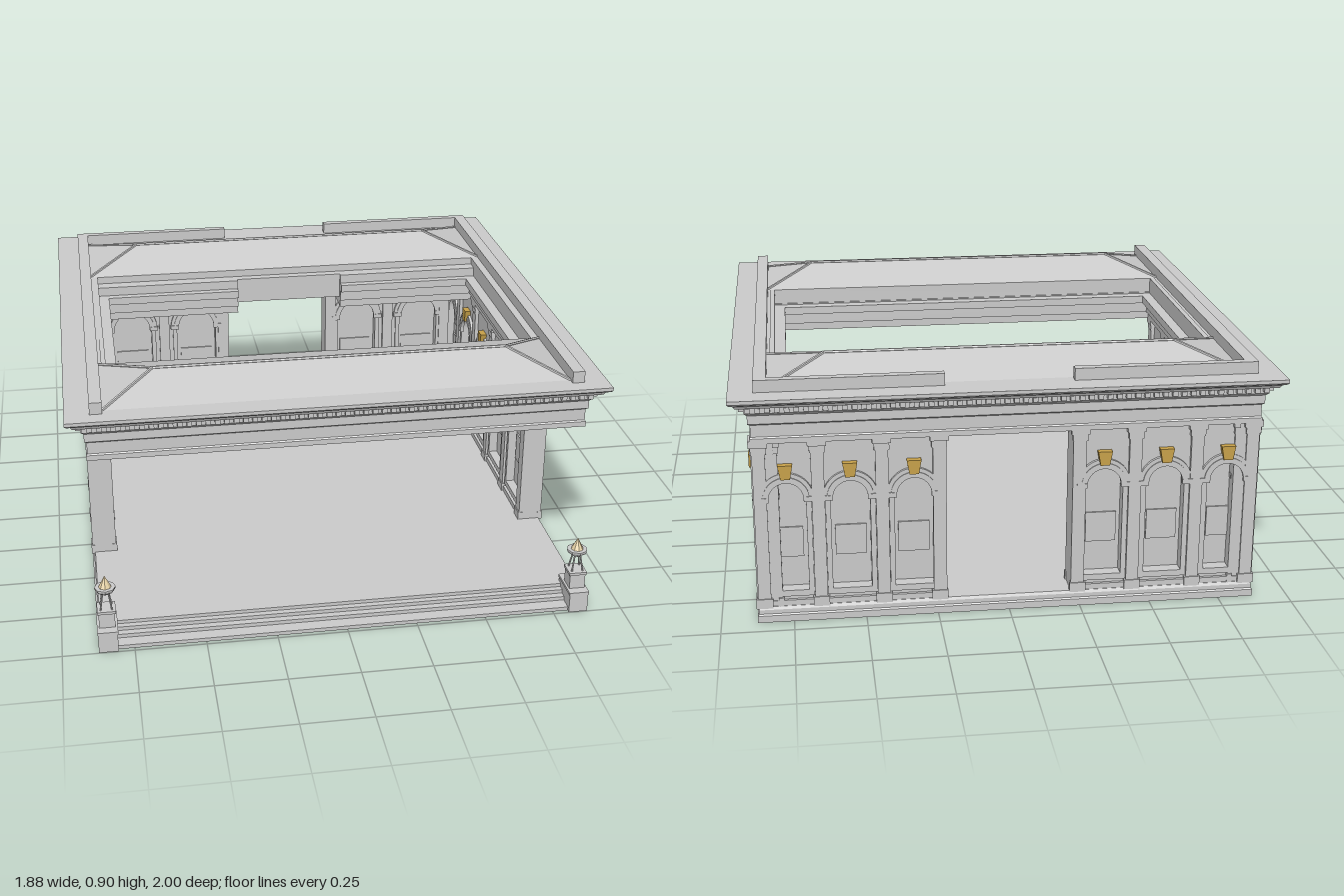
import * as THREE from 'three';
import { ConvexGeometry } from 'three/addons/geometries/ConvexGeometry.js';

const grey = new THREE.MeshStandardMaterial({ color: 0xcccccc, flatShading: true });
const thin = new THREE.MeshStandardMaterial({ color: 0xcccccc, side: THREE.DoubleSide });
const gold = new THREE.MeshStandardMaterial({ color: 0xc8a24a, flatShading: true });
const flameMat = new THREE.MeshStandardMaterial({ color: 0xe8d4a8, flatShading: true });

function add(parent, name, geo, mat = grey) {
  const m = new THREE.Mesh(geo, mat);
  m.name = name;
  parent.add(m);
  return m;
}

// Box given by its minimum and maximum along each axis
function box(parent, name, x0, x1, y0, y1, z0, z1, mat) {
  const m = add(parent, name, new THREE.BoxGeometry(x1 - x0, y1 - y0, z1 - z0), mat);
  m.position.set((x0 + x1) / 2, (y0 + y1) / 2, (z0 + z1) / 2);
  return m;
}

// Same box on both sides of the model
function pair(parent, name, x0, x1, ...rest) {
  box(parent, name, x0, x1, ...rest);
  box(parent, name, -x1, -x0, ...rest);
}

// Mitred moulding around a rectangle; profile points are [offset outwards, height]
function moulding(parent, name, profile, hx, z0, z1) {
  const pos = [];
  const corner = ([o, y], i) => [[hx + o, y, z1 + o], [hx + o, y, z0 - o], [-hx - o, y, z0 - o], [-hx - o, y, z1 + o]][i % 4];
  for (let k = 0; k < profile.length - 1; k++) {
    for (let i = 0; i < 4; i++) {
      const a = corner(profile[k], i), b = corner(profile[k], i + 1);
      const c = corner(profile[k + 1], i + 1), d = corner(profile[k + 1], i);
      pos.push(...a, ...b, ...c, ...a, ...c, ...d);
    }
  }
  const g = new THREE.BufferGeometry();
  g.setAttribute('position', new THREE.Float32BufferAttribute(pos, 3));
  g.computeVertexNormals();
  return add(parent, name, g, thin);
}

// Arched outline: straight sides, half-round head
function arch(Type, hw, bottom, spring) {
  const s = new Type();
  s.moveTo(-hw, bottom);
  s.lineTo(hw, bottom);
  s.lineTo(hw, spring);
  s.absarc(0, spring, hw, 0, Math.PI, false);
  s.lineTo(-hw, bottom);
  return s;
}

function archBand(inner, outer, bottom, innerBottom, depth) {
  const s = arch(THREE.Shape, outer, bottom, 0.45);
  s.holes.push(arch(THREE.Path, inner, innerBottom, 0.45));
  return new THREE.ExtrudeGeometry(s, { depth, bevelEnabled: false, curveSegments: 16 });
}

// One window bay facing +z, wall plane at z = 0
function windowBay(w, depth) {
  const g = new THREE.Group();
  g.name = 'windowBay';
  const hw = Math.min(0.085, w * 0.31);
  const wall = new THREE.Shape([[-w / 2, 0.05], [w / 2, 0.05], [w / 2, 0.67], [-w / 2, 0.67]].map(p => new THREE.Vector2(...p)));
  wall.holes.push(arch(THREE.Path, hw, 0.11, 0.45));
  add(g, 'wallPanel', new THREE.ExtrudeGeometry(wall, { depth, bevelEnabled: false, curveSegments: 16 })).position.z = -depth;
  add(g, 'windowPane', new THREE.ShapeGeometry(arch(THREE.Shape, hw, 0.11, 0.45), 16), thin).position.z = -depth + 0.004;
  box(g, 'windowPlaque', -hw * 0.8, hw * 0.8, 0.22, 0.33, -depth + 0.004, -depth + 0.01);
  add(g, 'windowFrame', archBand(hw, hw + 0.018, 0.088, 0.11, 0.008));
  // Projecting arch with its imposts and keystone
  [[hw - 0.008, hw + 0.012, 0.015], [hw + 0.01, hw + 0.026, 0.011]].forEach(([r0, r1, d]) => {
    const s = new THREE.Shape();
    s.absarc(0, 0.45, r1, 0, Math.PI, false);
    s.absarc(0, 0.45, r0, Math.PI, 0, true);
    add(g, 'archMoulding', new THREE.ExtrudeGeometry(s, { depth: d, bevelEnabled: false, curveSegments: 16 }));
  });
  pair(g, 'impost', hw - 0.008, hw + 0.028, 0.44, 0.458, 0, 0.016);
  const k = new THREE.Shape([[-0.016, 0.525], [0.016, 0.525], [0.025, 0.575], [-0.025, 0.575]].map(p => new THREE.Vector2(...p)));
  add(g, 'keystone', new THREE.ExtrudeGeometry(k, { depth: 0.024, bevelEnabled: false }), gold);
  return g;
}

// Row of bays divided by pilasters
function wallFace(parent, name, n, length, depth, x, z, turn) {
  const g = new THREE.Group(), w = length / n;
  g.name = name;
  for (let i = 0; i < n; i++) {
    const b = windowBay(w, depth);
    b.position.x = (i - (n - 1) / 2) * w;
    g.add(b);
  }
  for (let i = 0; i <= n; i++) {
    const c = Math.max(-length / 2 + 0.022, Math.min(length / 2 - 0.022, (i - n / 2) * w));
    box(g, 'pilaster', c - 0.022, c + 0.022, 0.05, 0.64, 0, 0.014);
    box(g, 'pilasterBase', c - 0.028, c + 0.028, 0.05, 0.085, 0, 0.018);
    box(g, 'pilasterNeck', c - 0.026, c + 0.026, 0.615, 0.64, 0, 0.017);
    box(g, 'pilasterCap', c - 0.032, c + 0.032, 0.64, 0.665, 0, 0.021);
  }
  box(g, 'skirting', -length / 2, length / 2, 0.05, 0.075, 0, 0.011);
  g.position.set(x, 0, z);
  g.rotation.y = turn;
  parent.add(g);
}

function rod(parent, name, a, b, r, sides = 6) {
  const p = new THREE.Vector3(...a), q = new THREE.Vector3(...b);
  const m = add(parent, name, new THREE.CylinderGeometry(r, r, p.distanceTo(q), sides));
  m.position.copy(p).add(q).multiplyScalar(0.5);
  m.quaternion.setFromUnitVectors(new THREE.Vector3(0, 1, 0), q.sub(p).normalize());
}

// Hipped roof strip with ridge and hip battens
function hipRoof(parent, z0, z1, ridgeZ, ridgeX) {
  const base = [[0.82, 0.828, z0], [0.82, 0.828, z1], [-0.82, 0.828, z0], [-0.82, 0.828, z1]];
  const ridge = [[ridgeX, 0.89, ridgeZ], [-ridgeX, 0.89, ridgeZ]];
  add(parent, 'hipRoof', new ConvexGeometry([...base, ...ridge].map(p => new THREE.Vector3(...p))));
  rod(parent, 'ridgeBatten', ridge[0], ridge[1], 0.006);
  base.forEach((b, i) => rod(parent, 'hipBatten', b, ridge[i < 2 ? 0 : 1], 0.006));
}

// Pedestal with a fire bowl on slender legs
function brazier(parent, x) {
  const g = new THREE.Group();
  g.name = 'brazier';
  box(g, 'pedestalBase', -0.034, 0.034, 0, 0.07, -0.067, 0.065);
  box(g, 'pedestalLedge', -0.036, 0.036, 0.07, 0.08, -0.069, 0.067);
  box(g, 'pedestal', -0.028, 0.028, 0.08, 0.135, -0.026, 0.034);
  box(g, 'pedestalCap', -0.032, 0.032, 0.135, 0.145, -0.03, 0.038);
  for (let i = 0; i < 4; i++) {
    const a = Math.PI / 4 + i * Math.PI / 2, c = Math.cos(a), s = Math.sin(a);
    rod(g, 'bowlLeg', [c * 0.028, 0.145, 0.004 + s * 0.028], [c * 0.014, 0.205, 0.004 + s * 0.014], 0.003);
  }
  const bowl = [[0, 0.198], [0.014, 0.2], [0.033, 0.214], [0.037, 0.222], [0.037, 0.227], [0, 0.227]];
  add(g, 'fireBowl', new THREE.LatheGeometry(bowl.map(p => new THREE.Vector2(...p)), 8)).position.z = 0.004;
  add(g, 'flame', new THREE.ConeGeometry(0.023, 0.045, 8), flameMat).position.set(0, 0.248, 0.004);
  g.position.set(x, 0, 0.933);
  parent.add(g);
}

export function createModel() {
  const g = new THREE.Group();
  g.name = 'pavilion';

  // Floor, plinth and front steps
  box(g, 'floor', -0.865, 0.865, 0, 0.055, -0.925, 0.89);
  moulding(g, 'plinth', [[0.01, 0], [0.01, 0.025], [0.005, 0.03], [0.005, 0.045], [0, 0.055]], 0.865, -0.925, 0.87);
  [[0.042, 0.912], [0.028, 0.937], [0.014, 0.985]].forEach(([h, z]) => box(g, 'step', -0.81, 0.81, 0, h, 0.87, z));
  brazier(g, 0.84);
  brazier(g, -0.84);

  // Side walls, outside and inside
  for (const s of [1, -1]) {
    wallFace(g, 'sideWallOutside', 5, 1.32, 0.03, s * 0.86, -0.26, s * Math.PI / 2);
    wallFace(g, 'sideWallInside', 5, 1.32, 0.03, s * 0.80, -0.26, -s * Math.PI / 2);
    // Back wall, left and right of the doorway
    wallFace(g, 'backWallOutside', 3, 0.65, 0.04, s * 0.545, -0.912, Math.PI);
    wallFace(g, 'backWallInside', 2, 0.565, 0.04, s * 0.5025, -0.832, 0);
  }
  pair(g, 'wallEnd', 0.786, 0.874, 0.05, 0.66, 0.385, 0.405);
  pair(g, 'doorJamb', 0.218, 0.235, 0.05, 0.66, -0.926, -0.818);

  // Roof slab with the open court cut out
  const slab = new THREE.Shape([[-0.87, -0.82], [0.87, -0.82], [0.87, 0.93], [-0.87, 0.93]].map(p => new THREE.Vector2(...p)));
  slab.holes.push(new THREE.Path([[-0.785, -0.41], [-0.785, 0.48], [0.785, 0.48], [0.785, -0.41]].map(p => new THREE.Vector2(...p))));
  const slabMesh = add(g, 'roofSlab', new THREE.ExtrudeGeometry(slab, { depth: 0.068, bevelEnabled: false }));
  slabMesh.rotation.x = -Math.PI / 2;
  slabMesh.position.y = 0.76;

  // Outer beams, inner beams around the court, and ceiling ribs
  box(g, 'frontBeam', -0.868, 0.868, 0.66, 0.77, 0.735, 0.818);
  box(g, 'backBeam', -0.868, 0.868, 0.66, 0.77, -0.928, -0.82);
  pair(g, 'sideBeam', 0.785, 0.868, 0.66, 0.77, -0.928, 0.818);
  box(g, 'courtFrontBeam', -0.79, 0.79, 0.66, 0.77, 0.405, 0.47);
  box(g, 'courtBackBeam', -0.79, 0.79, 0.70, 0.8, -0.5, -0.445);
  pair(g, 'courtBackBeamSide', 0.215, 0.79, 0.66, 0.8, -0.5, -0.43);
  pair(g, 'passageBeam', 0.215, 0.26, 0.66, 0.77, -0.85, -0.45);
  for (const x of [-0.52, 0.52]) box(g, 'ceilingRib', x - 0.02, x + 0.02, 0.7, 0.77, -0.85, -0.45);
  for (const x of [-0.52, -0.17, 0.17, 0.52]) box(g, 'ceilingRib', x - 0.02, x + 0.02, 0.7, 0.77, 0.45, 0.76);

  // Stepped cornice facing the court, broken over the doorway
  [[0.66, 0.69, 0.012], [0.69, 0.735, 0.022], [0.735, 0.765, 0.045]].forEach(([y0, y1, d]) => {
    box(g, 'courtCornice', -0.79, 0.79, y0, y1, 0.405 - d, 0.41);
    pair(g, 'courtCornice', 0.79 - d, 0.8, y0, y1, -0.45, 0.41);
    pair(g, 'courtCornice', 0.215, 0.79, y0, y1, -0.45, -0.445 + d);
  });

  // Outer entablature and projecting cornice
  moulding(g, 'entablature', [[-0.03, 0.656], [0.004, 0.656], [0.004, 0.675], [0, 0.68], [0, 0.722], [0.008, 0.728],
    [0.008, 0.758], [0.018, 0.768], [0.018, 0.792], [0.045, 0.795], [0.05, 0.805], [0.064, 0.812], [0.07, 0.818],
    [0.07, 0.83], [-0.07, 0.83]], 0.87, -0.93, 0.82);
  // Dentil rows
  const dentil = new THREE.BoxGeometry(0.018, 0.016, 0.018);
  const row = [];
  for (let i = 0; i < 56; i++) {
    const t = (i + 0.5) / 56 - 0.5;
    row.push([t * 1.78, 0.846], [t * 1.78, -0.956], [0.896, t * 1.79 - 0.055], [-0.896, t * 1.79 - 0.055]);
  }
  const dentils = new THREE.InstancedMesh(dentil, grey, row.length);
  dentils.name = 'dentils';
  row.forEach(([x, z], i) => dentils.setMatrixAt(i, new THREE.Matrix4().makeTranslation(x, 0.783, z)));
  g.add(dentils);

  // Parapets and hipped roofs
  pair(g, 'sideParapet', 0.812, 0.855, 0.828, 0.872, -0.91, 0.83);
  pair(g, 'backParapet', 0.22, 0.855, 0.828, 0.872, -0.915, -0.885);
  hipRoof(g, 0.41, 0.81, 0.61, 0.63);
  hipRoof(g, -0.885, -0.48, -0.685, 0.615);
  return g;
}
